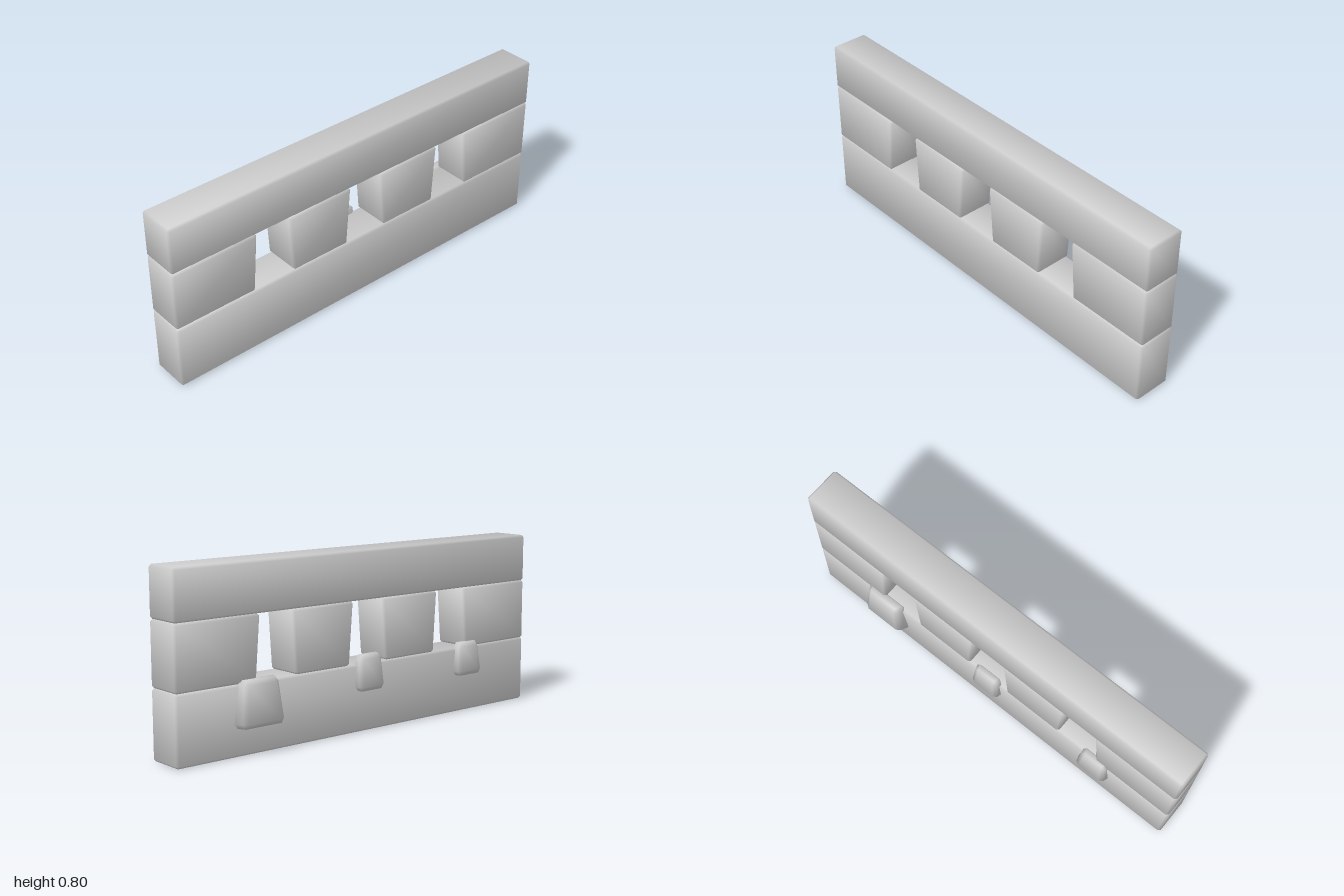
import * as THREE from 'three';
import { ConvexGeometry } from 'three/addons/geometries/ConvexGeometry.js';

const Z_BACK = -0.065, Z_FRONT = 0.115;
const lerp = THREE.MathUtils.lerp;
const material = new THREE.MeshStandardMaterial({ color: 0xcccccc });

// Chamfered box centred on the origin, with soft normals blended over the chamfers
function chamferBox(w, h, d, bevel) {
  const half = [w / 2, h / 2, d / 2];
  const points = [];
  for (let axis = 0; axis < 3; axis++)
    for (const sx of [-1, 1]) for (const sy of [-1, 1]) for (const sz of [-1, 1]) {
      const p = [sx, sy, sz].map((s, i) => s * (half[i] - (i === axis ? 0 : bevel)));
      points.push(new THREE.Vector3(...p));
    }
  const geo = new ConvexGeometry(points);
  const pos = geo.attributes.position, normal = geo.attributes.normal;
  for (let i = 0; i < pos.count; i++) {
    const p = [pos.getX(i), pos.getY(i), pos.getZ(i)];
    normal.setXYZ(i, ...p.map((c, k) =>
      Math.sign(c) * (half[k] - Math.abs(c) < bevel / 2 ? 0.874 : 0.343)));
  }
  return geo;
}

// Move every vertex by a rule
function warp(geo, rule) {
  const pos = geo.attributes.position, v = new THREE.Vector3();
  for (let i = 0; i < pos.count; i++) {
    rule(v.fromBufferAttribute(pos, i));
    pos.setXYZ(i, v.x, v.y, v.z);
  }
  return geo;
}

// Full-depth block whose left and right sides may lean
function block(name, y0, y1, bottom, top = bottom) {
  const h = y1 - y0;
  const w = bottom[1] - bottom[0];
  const geo = warp(chamferBox(w, h, Z_FRONT - Z_BACK, 0.01), v => {
    const t = v.y / h + 0.5, s = v.x / w + 0.5;
    v.x = lerp(lerp(bottom[0], bottom[1], s), lerp(top[0], top[1], s), t);
    v.y += (y0 + y1) / 2;
    v.z += (Z_FRONT + Z_BACK) / 2;
  });
  const mesh = new THREE.Mesh(geo, material);
  mesh.name = name;
  return mesh;
}

// Lump on the back face, narrowing upwards and outwards
function lump(name, { x, halfWidth, y0, y1, topScale, outScale, zBottom, zTop }) {
  const w = halfWidth * 2, h = y1 - y0, d = 0.09, zIn = -0.045;
  const geo = warp(chamferBox(w, h, d, 0.02), v => {
    const t = v.y / h + 0.5, u = 0.5 - v.z / d;
    v.x = x + v.x * lerp(1, topScale, t) * lerp(1, outScale, u);
    v.y += (y0 + y1) / 2;
    v.z = lerp(zIn, lerp(zBottom, zTop, t), u);
  });
  const mesh = new THREE.Mesh(geo, material);
  mesh.name = name;
  return mesh;
}

export function createModel() {
  const model = new THREE.Group();
  model.name = 'parapet';

  // Long beams
  model.add(block('bottomBeam', 0, 0.302, [-1, 1]));
  model.add(block('topBeam', 0.582, 0.8, [-1, 1]));

  // Tapered blocks between the openings
  const blocks = [
    [[-1, -0.605], [-1, -0.583]],
    [[-0.4, -0.105], [-0.418, -0.083]],
    [[0.105, 0.4], [0.083, 0.418]],
    [[0.605, 1], [0.583, 1]],
  ];
  blocks.forEach(([bottom, top], i) =>
    model.add(block(`middleBlock${i + 1}`, 0.302, 0.582, bottom, top)));

  // Lumps under the openings at the back
  model.add(lump('rightLump', { x: -0.605, halfWidth: 0.09, y0: 0.175, y1: 0.328,
    topScale: 0.78, outScale: 0.82, zBottom: -0.103, zTop: -0.085 }));
  model.add(lump('centreLump', { x: 0, halfWidth: 0.084, y0: 0.185, y1: 0.345,
    topScale: 0.82, outScale: 0.82, zBottom: -0.1, zTop: -0.083 }));
  model.add(lump('leftLump', { x: 0.6, halfWidth: 0.135, y0: 0.12, y1: 0.318,
    topScale: 0.78, outScale: 0.74, zBottom: -0.115, zTop: -0.096 }));

  return model;
}
